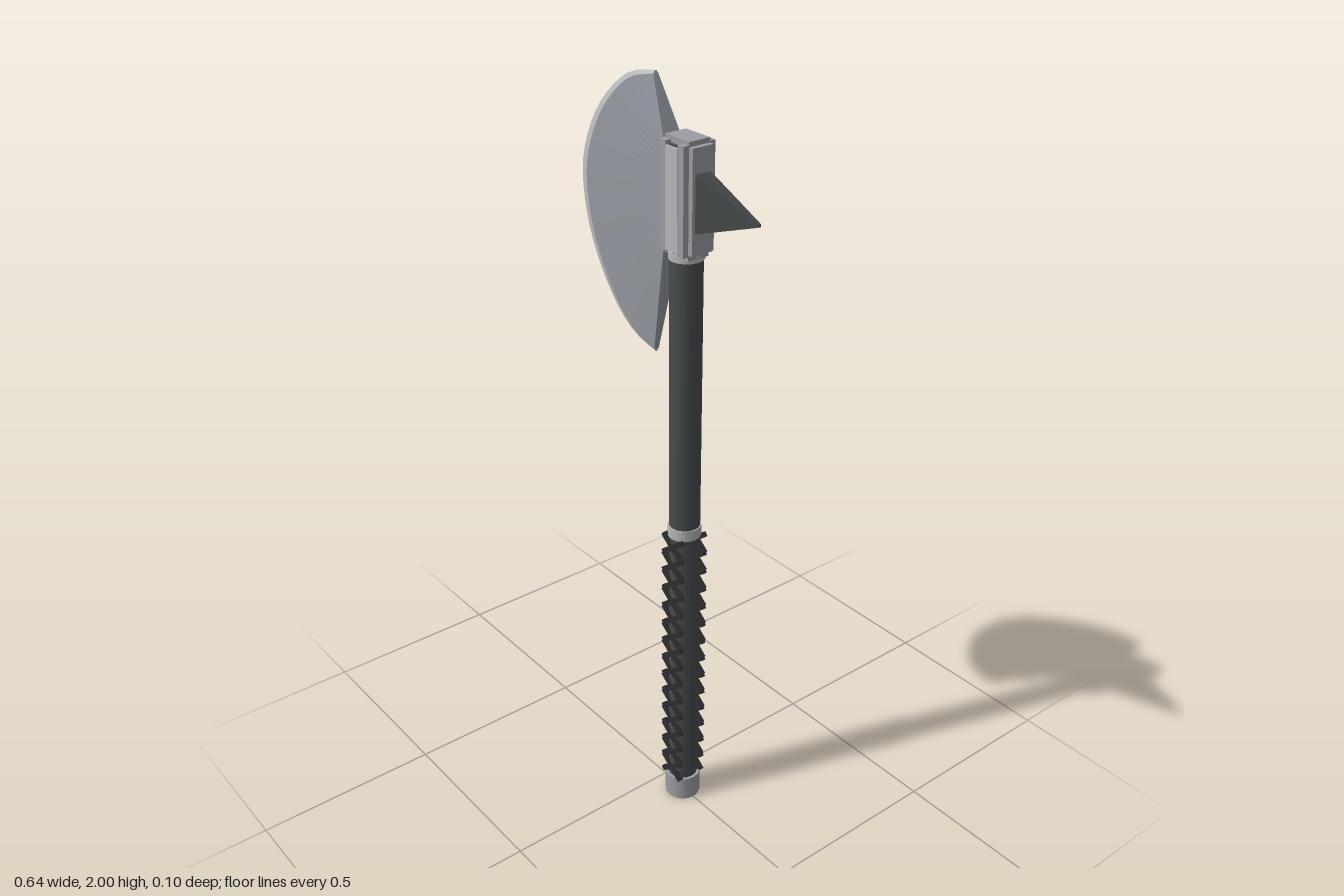
import * as THREE from 'three';

const mat = (name, color, side = THREE.FrontSide) => {
  const m = new THREE.MeshStandardMaterial({ color, side });
  m.name = name;
  return m;
};

export function createModel() {
  const steel = mat('steel', 0x9a9da3);
  const bladeSteel = mat('blade steel', 0x94989f, THREE.DoubleSide);
  const edgeSteel = mat('edge steel', 0xbcbfc0, THREE.DoubleSide);
  const brightSteel = mat('bright steel', 0xb4b6b8);
  const shaftDark = mat('dark shaft', 0x474b4c);
  const spikeDark = mat('dark spike', 0x434748, THREE.DoubleSide);
  const leather = mat('black leather', 0x2d2d2d);

  const model = new THREE.Group();
  model.name = 'axe';
  const CX = 0.077; // shaft axis

  const add = (name, geometry, material) => {
    const mesh = new THREE.Mesh(geometry, material);
    mesh.name = name;
    model.add(mesh);
    return mesh;
  };
  const rod = (name, r, y0, y1, material) =>
    add(name, new THREE.CylinderGeometry(r, r, y1 - y0, 16), material).position.set(CX, (y0 + y1) / 2, 0);
  const box = (name, x0, x1, y0, y1, z0, z1, material) =>
    add(name, new THREE.BoxGeometry(x1 - x0, y1 - y0, z1 - z0), material)
      .position.set((x0 + x1) / 2, (y0 + y1) / 2, (z0 + z1) / 2);
  // Flat-shaded surface from a list of four-cornered faces
  const faces = (quads) => {
    const pos = [];
    for (const [a, b, c, d] of quads) for (const p of [a, b, c, a, c, d]) pos.push(...p);
    const g = new THREE.BufferGeometry();
    g.setAttribute('position', new THREE.Float32BufferAttribute(pos, 3));
    g.computeVertexNormals();
    return g;
  };

  // Shaft, pommel and collars
  rod('shaft', 0.04, 0.05, 1.865, shaftDark);
  rod('pommel', 0.048, 0, 0.07, steel);
  rod('gripCollar', 0.043, 0.85, 0.88, brightSteel);
  rod('headCollar', 0.043, 1.595, 1.615, brightSteel);

  // Crossed grip straps, flat on the front and back of the shaft
  const turns = 14, pitch = 0.78 / turns, span = 0.072;
  const strapGeo = new THREE.BoxGeometry(Math.hypot(span, pitch), 0.014, 0.012);
  const straps = new THREE.Group();
  straps.name = 'gripStraps';
  model.add(straps);
  for (let i = 0; i < turns; i++)
    for (const z of [-0.037, 0.037])
      for (const s of [-1, 1]) {
        const strap = new THREE.Mesh(strapGeo, leather);
        strap.name = 'gripStrap';
        strap.position.set(CX, 0.07 + (i + 0.5) * pitch, z);
        strap.rotation.z = s * Math.atan2(pitch, span);
        straps.add(strap);
      }

  // Head block with corner posts and a bright strip on each side
  box('headCore', 0.035, 0.119, 1.605, 1.88, -0.03, 0.03, steel);
  box('headCheeks', 0.022, 0.132, 1.62, 1.868, -0.03, 0.03, steel);
  for (const s of [-1, 1]) {
    const z = [0.02 * s, 0.045 * s].sort((a, b) => a - b);
    box('headPost', 0.035, 0.056, 1.615, 1.872, ...z, steel);
    box('headPost', 0.098, 0.119, 1.615, 1.872, ...z, steel);
    const zs = [0.039 * s, 0.046 * s].sort((a, b) => a - b);
    box('headStrip', 0.056, 0.098, 1.62, 1.862, ...zs, brightSteel);
  }

  // Blade: ruled from the thick neck to a thin curved edge
  const arc = new THREE.CatmullRomCurve3([
    [-0.035, 2.0], [-0.13, 1.978], [-0.24, 1.89], [-0.305, 1.78], [-0.322, 1.69],
    [-0.293, 1.55], [-0.21, 1.415], [-0.125, 1.345], [-0.035, 1.32],
  ].map(([x, y]) => new THREE.Vector3(x, y, 0)));
  const N = 28;
  const neck = [], inner = [], outer = [];
  for (let i = 0; i <= N; i++) {
    const t = i / N, p = arc.getPointAt(t);
    const k = 1 - 0.08 * (0.25 + 0.75 * Math.sin(Math.PI * t));
    neck.push([0.024, 1.865 - 0.255 * t, 0.025]);
    inner.push([-0.035 + (p.x + 0.035) * k, 1.68 + (p.y - 1.68) * k, 0.007]);
    outer.push([p.x, p.y, 0.002]);
  }
  const flip = ([x, y, z]) => [x, y, -z];
  // Both sides and the two end caps between a pair of rows
  const slab = (a, b) => {
    const q = [];
    for (let i = 0; i < N; i++) {
      const f = [a[i], b[i], b[i + 1], a[i + 1]];
      q.push(f, f.map(flip).reverse());
    }
    q.push([a[0], flip(a[0]), flip(b[0]), b[0]]);
    q.push([b[N], flip(b[N]), flip(a[N]), a[N]]);
    return q;
  };
  add('blade', faces(slab(neck, inner)), bladeSteel);
  const rim = slab(inner, outer);
  for (let i = 0; i < N; i++) rim.push([outer[i], flip(outer[i]), flip(outer[i + 1]), outer[i + 1]]);
  add('cuttingEdge', faces(rim), edgeSteel);

  // Back spike: four-sided taper with a small blunt tip
  const ring = (x, h, d) => [[1, 1], [-1, 1], [-1, -1], [1, -1]].map(([a, b]) => [x, 1.74 + a * h, b * d]);
  const base = ring(0.128, 0.07, 0.022), tip = ring(0.321, 0.003, 0.004);
  const sides = base.map((p, i) => [p, base[(i + 1) % 4], tip[(i + 1) % 4], tip[i]]);
  add('spike', faces([...sides, tip]), spikeDark);

  return model;
}
